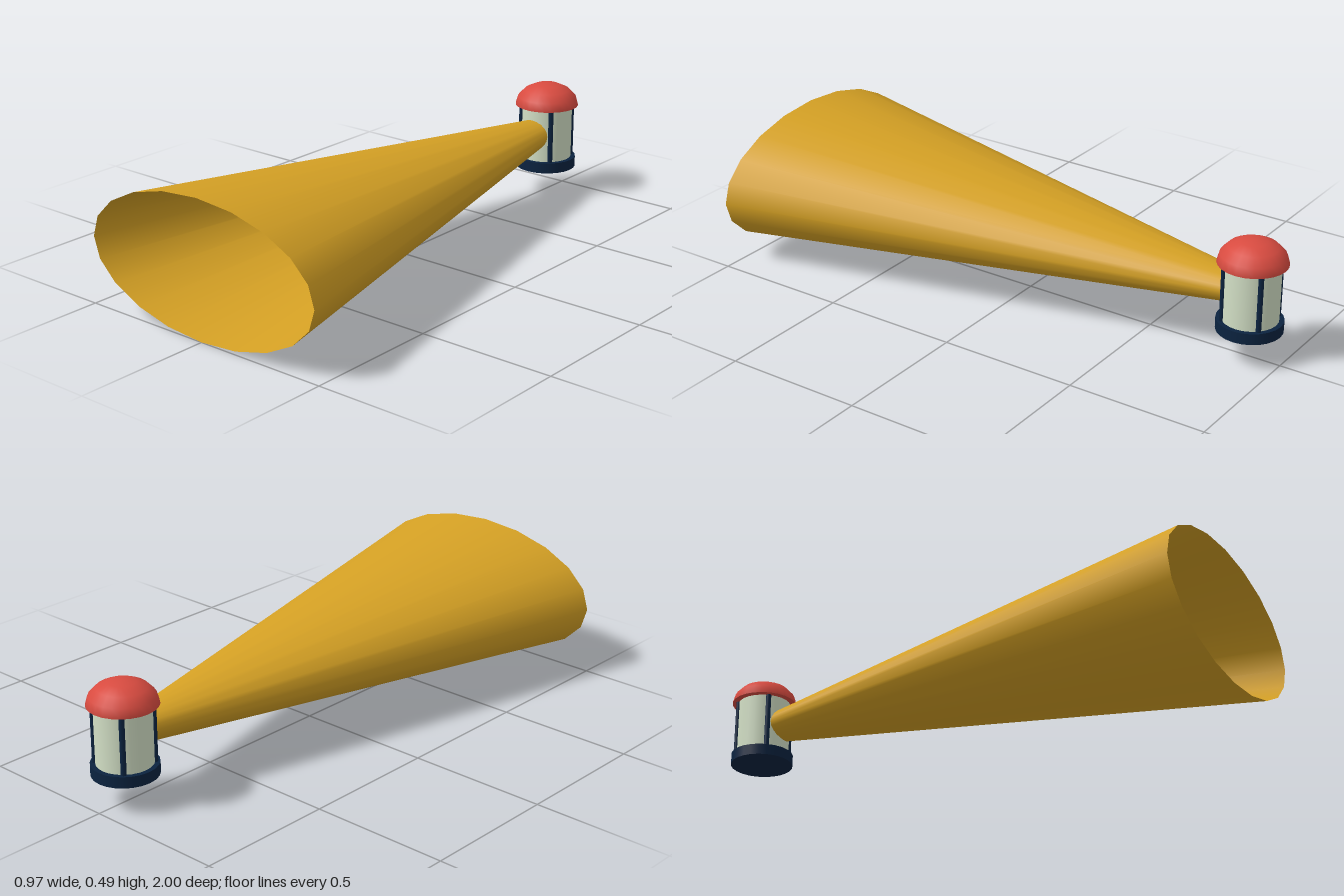
import * as THREE from 'three';
import { mergeVertices } from 'three/addons/utils/BufferGeometryUtils.js';

const material = (name, color, side = THREE.FrontSide) => {
  const m = new THREE.MeshStandardMaterial({ color, side });
  m.name = name;
  return m;
};

export function createModel() {
  const amber = material('amber', 0xd4a024, THREE.DoubleSide);
  const red = material('red', 0xd84b40);
  const navy = material('navy', 0x0b2340);
  const glass = material('pale glass', 0xd3e0c6);

  const model = new THREE.Group();
  const add = (parent, name, geometry, mat, x = 0, y = 0, z = 0) => {
    const mesh = new THREE.Mesh(geometry, mat);
    mesh.name = name;
    mesh.position.set(x, y, z);
    parent.add(mesh);
    return mesh;
  };

  // Light beam: open cone from a small circle to a wide ellipse
  const zNear = -0.805, zFar = 1;
  let beam = new THREE.CylinderGeometry(1, 1, 1, 20, 1, true).rotateX(Math.PI / 2);
  const p = beam.attributes.position;
  for (let i = 0; i < p.count; i++) {
    const t = p.getZ(i) + 0.5;
    p.setXYZ(i,
      p.getX(i) * THREE.MathUtils.lerp(0.059, 0.487, t),
      p.getY(i) * THREE.MathUtils.lerp(0.058, 0.244, t),
      THREE.MathUtils.lerp(zNear, zFar, t));
  }
  beam.deleteAttribute('uv');
  beam.deleteAttribute('normal');
  beam = mergeVertices(beam);
  beam.computeVertexNormals();
  add(model, 'lightBeam', beam, amber, 0, 0.247, 0);

  // Lantern room at the narrow end
  const lantern = new THREE.Group();
  lantern.name = 'lantern';
  lantern.position.z = -0.88;
  model.add(lantern);

  add(lantern, 'base', new THREE.CylinderGeometry(0.114, 0.114, 0.04, 24), navy, 0, 0.126, 0);
  add(lantern, 'glassRoom', new THREE.CylinderGeometry(0.097, 0.097, 0.21, 24), glass, 0, 0.249, 0);

  // Four upright glazing bars on the diagonals
  for (let i = 0; i < 4; i++) {
    const a = Math.PI / 4 + i * Math.PI / 2;
    add(lantern, 'glazingBar', new THREE.CylinderGeometry(0.0095, 0.0095, 0.21, 8), navy,
      Math.sin(a) * 0.097, 0.249, Math.cos(a) * 0.097);
  }

  // Flattened dome roof with its underside
  const dome = new THREE.SphereGeometry(0.12, 24, 4, 0, Math.PI * 2, 0, Math.PI / 2).scale(1, 0.7, 1);
  add(lantern, 'domeRoof', dome, red, 0, 0.351, 0);
  add(lantern, 'domeUnderside', new THREE.CircleGeometry(0.12, 24).rotateX(Math.PI / 2), red, 0, 0.351, 0);

  return model;
}
